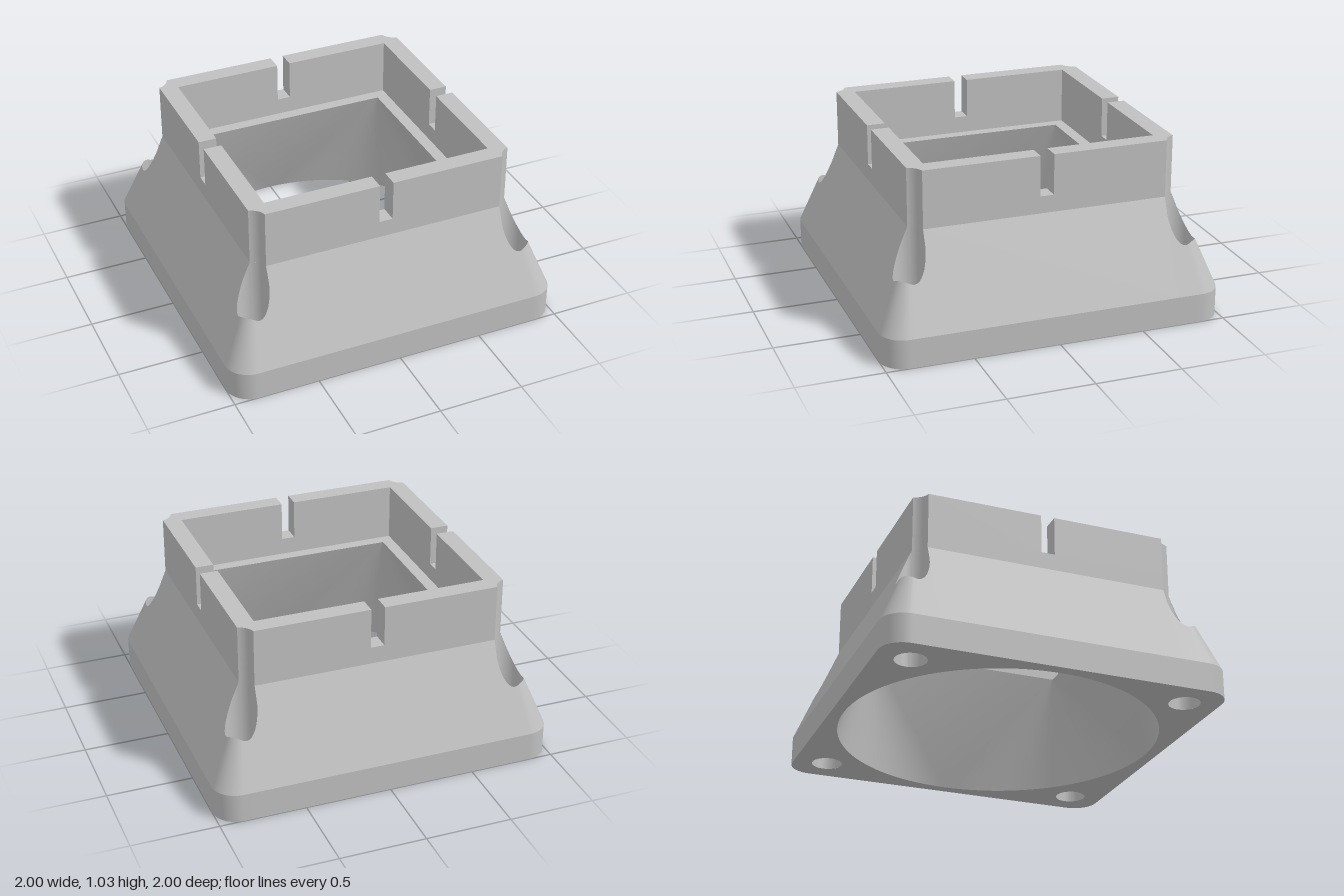
import * as THREE from 'three';
import { toCreasedNormals } from 'three/addons/utils/BufferGeometryUtils.js';

const BASE = 0.17, LEDGE = 0.7, SLOT = 0.8, TOP = 1.035;   // heights
const NECK = 0.78, BORE = 0.675, LIP = 0.605, MOUTH = 0.93; // half widths, mouth radius
const R = 0.14, C = 1 - R;                                  // base corner rounding
const HOLE = 0.09, HC = 0.8;                                // bolt hole radius and centre
const SLOT_HALF = 0.04;

const material = new THREE.MeshStandardMaterial({ color: 0xbfbfbf });
material.name = 'grey plastic';

const crease = (g) => toCreasedNormals(g, 0.45);

// Surface between two point lists [x, y, z]
function strip(lower, upper, closed = true) {
  const pos = [], n = lower.length;
  const tri = (...pts) => {
    const [a, b, c] = pts.map((p) => new THREE.Vector3(...p));
    if (b.clone().sub(a).cross(c.clone().sub(a)).length() > 1e-9) pts.forEach((p) => pos.push(...p));
  };
  for (let i = 0; i < (closed ? n : n - 1); i++) {
    const j = (i + 1) % n;
    tri(lower[i], upper[i], upper[j]);
    tri(lower[i], upper[j], lower[j]);
  }
  const g = new THREE.BufferGeometry();
  g.setAttribute('position', new THREE.Float32BufferAttribute(pos, 3));
  return crease(g);
}

// Repeat one corner's points around all four corners
function around(points) {
  const out = [];
  for (let k = 0; k < 4; k++) {
    const c = [1, 0, -1, 0][k], s = [0, 1, 0, -1][k];
    points.forEach(([x, y, z]) => out.push([x * c - z * s, y, x * s + z * c]));
  }
  return out;
}

// Point on the base outline below a slope point, and the slope's height there
function slopeAt(x, z) {
  const dx = x - NECK, dz = z - NECK, ratio = (C - NECK) / (1 - NECK) - 1e-6;
  const drop = (t) => LEDGE - (LEDGE - BASE) * t;
  if (dz < dx * ratio) return { foot: [1, z], h: drop(dx / (1 - NECK)) };
  if (dx < dz * ratio) return { foot: [x, 1], h: drop(dz / (1 - NECK)) };
  const e = NECK - C, a = dx * dx + dz * dz, b = e * (dx + dz), c = 2 * e * e - R * R;
  const s = (-b + Math.sqrt(b * b - a * c)) / a;
  return { foot: [NECK + s * dx, NECK + s * dz], h: drop(1 / s) };
}

// Angles where a bolt hole meets the neck walls
const off = HC - NECK, reach = Math.sqrt(HOLE * HOLE - off * off);
const A0 = Math.atan2(-reach, -off), A1 = Math.PI / 2 - A0;

// Angle where a bolt hole meets the edge of the rounded corner
function fanAngle() {
  const dx = 1 - NECK, dz = C - NECK, a = dx * dx + dz * dz, b = -off * (dx + dz);
  const t = (-b + Math.sqrt(b * b - a * (2 * off * off - HOLE * HOLE))) / a;
  return Math.atan2(-off + dz * t, -off + dx * t);
}

function arc(from, to, n) {
  return Array.from({ length: n + 1 }, (_, i) => {
    const a = from + ((to - from) * i) / n;
    return [HC + HOLE * Math.cos(a), HC + HOLE * Math.sin(a)];
  });
}

// L-shaped quarter of the neck, notched by the bolt hole
function neckQuarter(gap, y0, y1) {
  const s = new THREE.Shape();
  s.moveTo(gap, BORE);
  s.lineTo(gap, NECK);
  s.lineTo(HC - reach, NECK);
  s.absarc(HC, HC, HOLE, A1, A0 + Math.PI * 2, false);
  s.lineTo(NECK, gap);
  s.lineTo(BORE, gap);
  s.lineTo(BORE, BORE);
  s.closePath();
  const g = new THREE.ExtrudeGeometry(s, { depth: y1 - y0, bevelEnabled: false, curveSegments: 16 });
  return crease(g.rotateX(-Math.PI / 2).translate(0, y0, 0));
}

function square(Type, h) {
  return new Type([[-h, -h], [h, -h], [h, h], [-h, h]].map((p) => new THREE.Vector2(...p)));
}

export function createModel() {
  const model = new THREE.Group();
  const add = (name, geometry) => {
    const mesh = new THREE.Mesh(geometry, material);
    mesh.name = name;
    model.add(mesh);
    return mesh;
  };

  // Sloped shoulder and base wall, sharing one outline
  const F = fanAngle();
  const rim = [...arc(A0, F, 14), ...arc(F, Math.PI / 2 - F, 16).slice(1), ...arc(Math.PI / 2 - F, A1, 14).slice(1)];
  const edge = rim.map(([x, z]) => ({ x, z, ...slopeAt(x, z) }));
  const rimLoop = around(edge.map((p) => [p.x, p.h, p.z]));
  const footLoop = (y) => around(edge.map((p) => [p.foot[0], y, p.foot[1]]));
  add('shoulder', strip(footLoop(BASE), rimLoop));
  add('baseWall', strip(footLoop(0), footLoop(BASE)));

  // Bolt hole walls: outer part ends on the slope, inner part runs up into the neck
  const holeTop = [
    ...edge.map((p) => [p.x, p.h, p.z]),
    ...arc(A1, A0 + Math.PI * 2, 12).slice(1).map(([x, z]) => [x, LEDGE, z]),
  ];
  const holeWall = strip(holeTop, holeTop.map(([x, , z]) => [x, 0, z]), false);

  // Neck with a slot in the middle of each side
  const neckLower = neckQuarter(0, LEDGE, SLOT);
  const neckUpper = neckQuarter(SLOT_HALF, SLOT, TOP);
  for (let k = 0; k < 4; k++) {
    add('boltHole', holeWall).rotation.y = (k * Math.PI) / 2;
    add('neckLower', neckLower).rotation.y = (k * Math.PI) / 2;
    add('neckUpper', neckUpper).rotation.y = (k * Math.PI) / 2;
  }

  // Ledge inside the neck
  const ledge = square(THREE.Shape, BORE);
  ledge.holes.push(square(THREE.Path, LIP));
  add('ledge', new THREE.ShapeGeometry(ledge).rotateX(-Math.PI / 2).translate(0, LEDGE, 0));

  // Funnel from the square lip to the round mouth
  const mouth = Array.from({ length: 25 }, (_, i) => {
    const a = (i / 24) * (Math.PI / 2);
    return [MOUTH * Math.cos(a), 0, MOUTH * Math.sin(a)];
  });
  add('funnel', strip(around(mouth.map(() => [LIP, LEDGE, LIP])), around(mouth)));

  // Underside with the mouth and bolt holes
  const plate = new THREE.Shape();
  plate.moveTo(1, -C);
  plate.absarc(C, C, R, 0, Math.PI / 2, false);
  plate.absarc(-C, C, R, Math.PI / 2, Math.PI, false);
  plate.absarc(-C, -C, R, Math.PI, Math.PI * 1.5, false);
  plate.absarc(C, -C, R, Math.PI * 1.5, Math.PI * 2, false);
  const cut = (x, z, r) => plate.holes.push(new THREE.Path().absarc(x, z, r, 0, Math.PI * 2, true));
  cut(0, 0, MOUTH);
  for (const x of [-HC, HC]) for (const z of [-HC, HC]) cut(x, z, HOLE);
  add('underside', new THREE.ShapeGeometry(plate, 48).rotateX(Math.PI / 2));

  return model;
}
